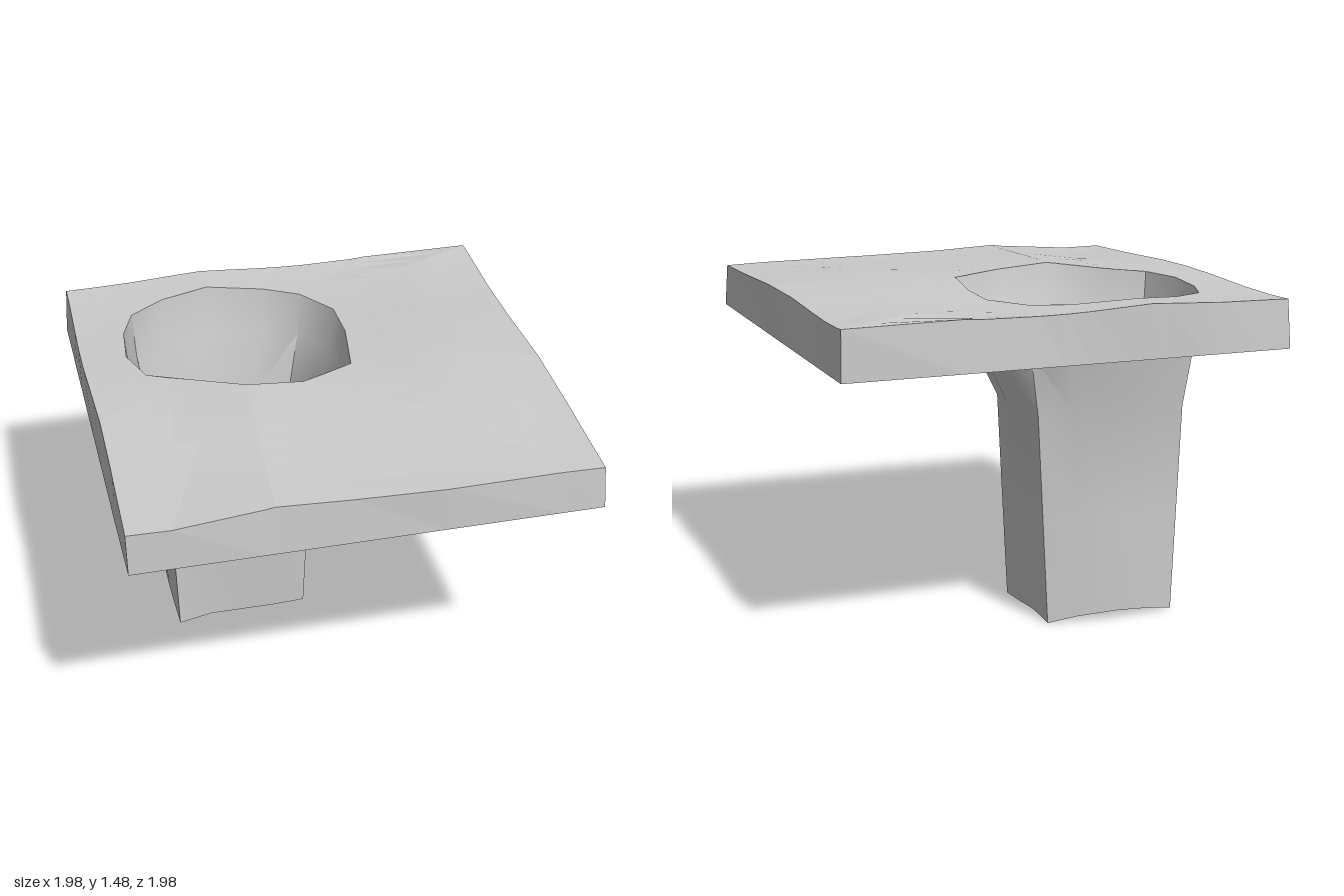
import * as THREE from 'three';
import { toCreasedNormals } from 'three/addons/utils/BufferGeometryUtils.js';

const UNDER = 1.24;
const CENTRE = [-0.3, -0.35];

// Outlines as [x, z], clockwise seen from above
const square = (s) => [[-s, -s], [s, -s], [s, s], [-s, s]];
const rim = [
  [-0.71, -0.68], [-0.55, -0.78], [-0.33, -0.83], [-0.07, -0.78],
  [0.09, -0.7], [0.21, -0.52], [0.21, -0.3],
  [0.16, 0], [-0.08, 0.11], [-0.33, 0.11], [-0.55, -0.02],
  [-0.73, -0.12], [-0.79, -0.3], [-0.77, -0.52],
];
const neck = [
  [-0.66, -0.65], [-0.52, -0.68], [-0.35, -0.7], [-0.14, -0.68],
  [0.02, -0.64], [0.035, -0.48], [0.035, -0.32],
  [0.02, -0.16], [-0.16, -0.13], [-0.33, -0.13], [-0.5, -0.135],
  [-0.66, -0.16], [-0.67, -0.32], [-0.67, -0.48],
];
const foot = [
  [-0.635, -0.63], [-0.5, -0.66], [-0.35, -0.68], [-0.17, -0.65],
  [-0.04, -0.62], [-0.03, -0.48], [-0.02, -0.34],
  [-0.015, -0.2], [-0.16, -0.205], [-0.32, -0.2], [-0.48, -0.19],
  [-0.635, -0.17], [-0.64, -0.32], [-0.64, -0.48],
];
const footY = [0.01, 0.035, 0.05, 0.035, 0.01, 0.03, 0.025, 0.02, 0.01, 0.015, 0.025, 0.01, 0.025, 0.02];
const underHole = [
  [-0.82, -0.81], [-0.5, -0.81], [-0.14, -0.84], [0.08, -0.73], [0.27, -0.69],
  [0.35, -0.23], [0.25, 0.15], [-0.35, 0.28], [-0.82, 0.08], [-0.95, -0.42],
];

// Rolling height of the ground
const backEdge = [1.455, 1.46, 1.475, 1.455, 1.45, 1.475, 1.455];
const frontEdge = [1.435, 1.43, 1.475, 1.445, 1.445, 1.445, 1.435];
function sample(list, x) {
  const u = THREE.MathUtils.clamp((x + 1) * 3, 0, 5.999);
  const i = Math.floor(u);
  return THREE.MathUtils.lerp(list[i], list[i + 1], u - i);
}
function height(x, z) {
  const blend = THREE.MathUtils.lerp(sample(backEdge, x), sample(frontEdge, x), (z + 1) / 2);
  return blend + 0.012 * Math.cos(3.6 * (z - 0.1)) + 0.006;
}

// Where a ray from the hole's centre meets an outline
function rayTo(outline, angle) {
  const dx = Math.cos(angle), dz = Math.sin(angle);
  let best = 0;
  outline.forEach((p, i) => {
    const q = outline[(i + 1) % outline.length];
    const px = p[0] - CENTRE[0], pz = p[1] - CENTRE[1];
    const ex = q[0] - p[0], ez = q[1] - p[1];
    const det = dx * ez - dz * ex;
    if (Math.abs(det) < 1e-9) return;
    const r = (px * ez - pz * ex) / det;
    const s = (px * dz - pz * dx) / det;
    if (r > 0 && s > -1e-6 && s < 1 + 1e-6) best = Math.max(best, r);
  });
  return [CENTRE[0] + dx * best, CENTRE[1] + dz * best];
}

// Skin between successive closed rings of [x, y, z]
function skin(rings) {
  const n = rings[0].length, index = [];
  for (let r = 0; r < rings.length - 1; r++) {
    for (let j = 0; j < n; j++) {
      const a = r * n + j, b = r * n + (j + 1) % n;
      index.push(a, b, a + n, b, b + n, a + n);
    }
  }
  const geometry = new THREE.BufferGeometry();
  geometry.setAttribute('position', new THREE.Float32BufferAttribute(rings.flat(2), 3));
  geometry.setIndex(index);
  geometry.computeVertexNormals();
  return geometry;
}

const mix = (a, b, t) => a.map((p, i) => [
  THREE.MathUtils.lerp(p[0], b[i][0], t),
  THREE.MathUtils.lerp(p[1], b[i][1], t),
]);
const onGround = (ring) => ring.map(([x, z]) => [x, height(x, z), z]);
const atLevel = (ring, y) => ring.map(([x, z]) => [x, y, z]);

export function createModel() {
  const group = new THREE.Group();
  const flat = new THREE.MeshStandardMaterial({ color: 0xcccccc, flatShading: true });
  const shell = new THREE.MeshStandardMaterial({ color: 0xcccccc, side: THREE.DoubleSide });
  const add = (name, geometry, material) => {
    const mesh = new THREE.Mesh(geometry, material);
    mesh.name = name;
    group.add(mesh);
  };

  // Shared directions, hitting every rim point and slab corner
  const angles = [...rim, ...square(0.985)].map(([x, z]) => Math.atan2(z - CENTRE[1], x - CENTRE[0]));
  for (let i = 0; i < 24; i++) angles.push(-Math.PI + (i + 0.37) * Math.PI / 12);
  angles.sort((a, b) => a - b);
  const cast = (outline) => angles.map((a) => rayTo(outline, a));

  // Ground surface around the hole
  const inner = cast(rim);
  const outer = cast(square(0.982)).map(([x, z]) => [
    x + 0.006 * Math.sin(5 * z), z + 0.006 * Math.sin(5 * x),
  ]);
  const steps = 7;
  const groundRings = [];
  for (let k = 0; k <= steps; k++) groundRings.push(onGround(mix(inner, outer, k / steps)));
  add('groundSurface', skin(groundRings), flat);

  // Slab sides and flat underside with its wider opening
  const base = atLevel(cast(square(0.988)), UNDER);
  add('slabSides', skin([onGround(outer), base]), flat);
  add('slabUnderside', skin([base, atLevel(cast(underHole), UNDER)]), flat);

  // Funnel and shaft, one thin open skin
  const shaft = skin([
    onGround(rim),
    atLevel(mix(neck, rim, 0.8), UNDER),
    atLevel(neck, 0.95),
    atLevel(mix(neck, foot, 0.5), 0.48),
    foot.map(([x, z], i) => [x, footY[i], z]),
  ]);
  add('shaft', toCreasedNormals(shaft, 0.7), shell);

  // Uneven shaft floor
  const floor = skin([
    foot.map(([x, z], i) => [x, footY[i], z]),
    foot.map(([x, z]) => [-0.33 + (x + 0.33) * 0.02, 0.012, -0.4 + (z + 0.4) * 0.02]),
  ]);
  add('shaftFloor', floor, shell);

  // Rest on the ground plane
  const box = new THREE.Box3().setFromObject(group);
  group.children.forEach((mesh) => { mesh.position.y -= box.min.y; });
  return group;
}
